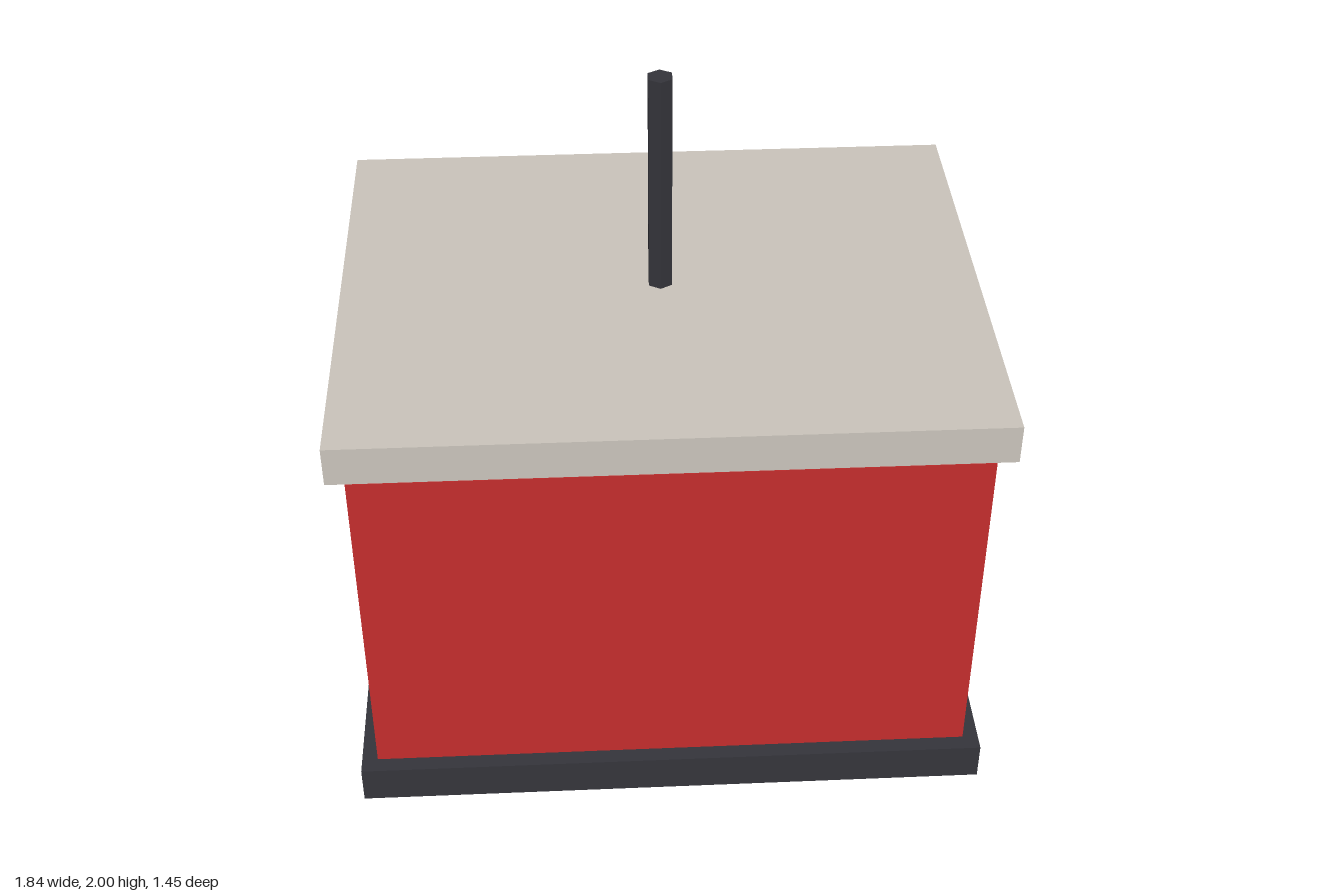
import * as THREE from 'three';

const paint = (name, color) => {
  const material = new THREE.MeshStandardMaterial({ color });
  material.name = name;
  return material;
};

export function createModel() {
  const model = new THREE.Group();
  model.name = 'cabinetWithMast';

  const red = paint('red', 0xc42d2d);
  const stone = paint('warmGrey', 0xcbc5bc);
  const dark = paint('charcoal', 0x35353b);
  dark.flatShading = true;

  // Adds a part centred on the y axis, spanning bottom to top
  const add = (name, geometry, material, bottom, top) => {
    const mesh = new THREE.Mesh(geometry, material);
    mesh.name = name;
    mesh.position.y = (bottom + top) / 2;
    model.add(mesh);
  };
  const slab = (name, width, depth, bottom, top, material) =>
    add(name, new THREE.BoxGeometry(width, top - bottom, depth), material, bottom, top);

  // Plinth, body and the roof slab floating just above it
  slab('base', 1.835, 1.453, 0, 0.117, dark);
  slab('body', 1.743, 1.36, 0.117, 1.176, red);
  slab('roof', 1.835, 1.453, 1.216, 1.333, stone);

  // Six-sided mast standing on the roof
  add('mast', new THREE.CylinderGeometry(0.038, 0.038, 0.667, 6), dark, 1.333, 2);

  return model;
}
